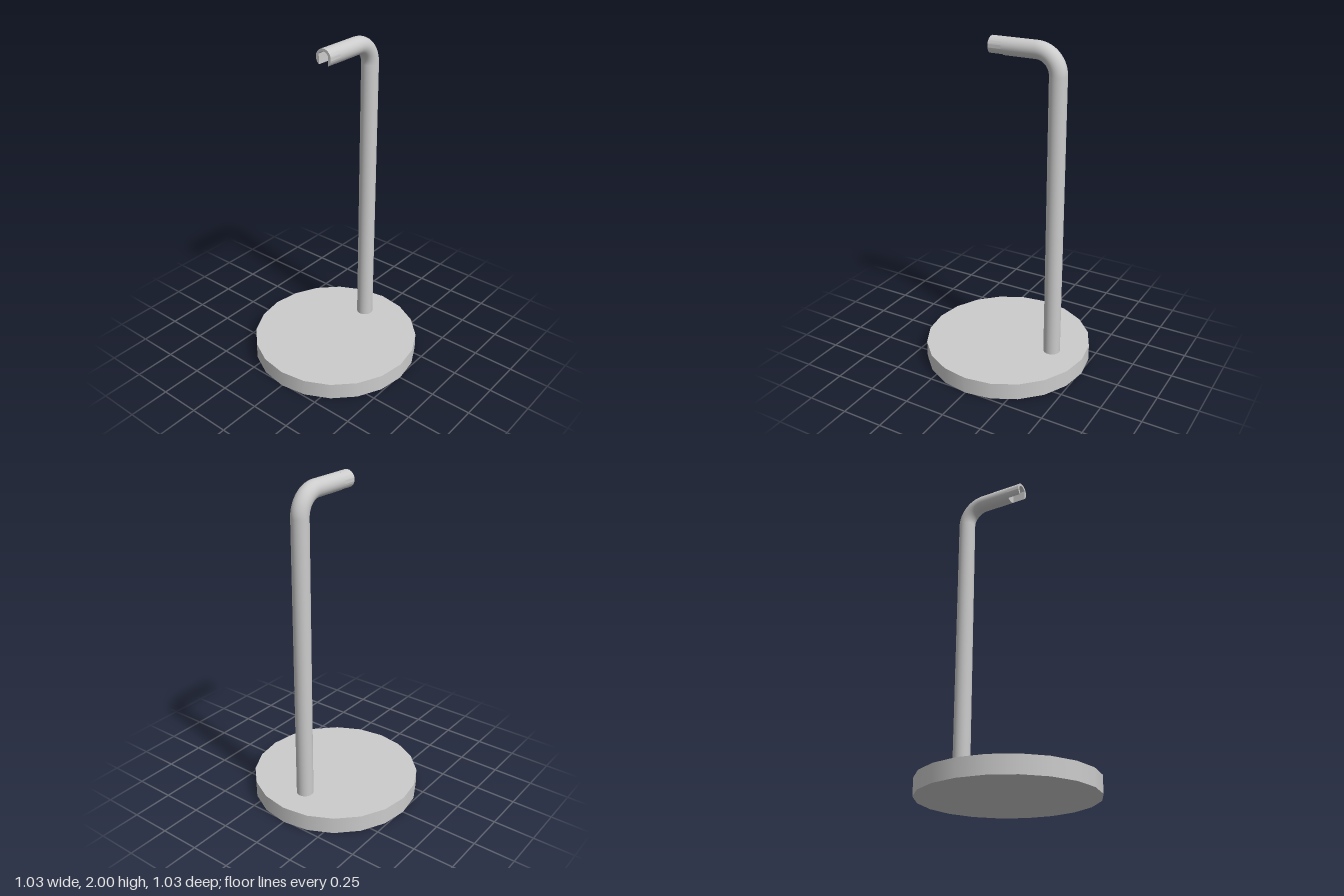
import * as THREE from 'three';
import { toCreasedNormals } from 'three/addons/utils/BufferGeometryUtils.js';

export function createModel() {
  const group = new THREE.Group();
  const material = new THREE.MeshStandardMaterial({ color: 0xcccccc });
  const add = (name, geometry, x, y, z) => {
    const mesh = new THREE.Mesh(geometry, material);
    mesh.name = name;
    mesh.position.set(x, y, z);
    group.add(mesh);
    return mesh;
  };

  const r = 0.051, bend = 0.13, sides = 40;
  const baseHeight = 0.103, postZ = -0.308, armY = 2 - r;
  const slotStart = 0.02, tipEnd = 0.102;
  const bendY = armY - bend, bendZ = postZ + bend;

  // Disc foot with twenty sides
  add('base', new THREE.CylinderGeometry(0.513, 0.513, baseHeight, 20), 0, baseHeight / 2, 0);

  // Upright rod
  const postLength = bendY - baseHeight;
  add('post', new THREE.CylinderGeometry(r, r, postLength, sides, 1, true), 0, baseHeight + postLength / 2, postZ);

  // Quarter-turn elbow from the post into the arm
  const elbow = new THREE.TorusGeometry(bend, r, sides, 20, Math.PI / 2).rotateY(Math.PI / 2);
  add('elbow', elbow, 0, bendY, bendZ);

  // Solid part of the arm; its front cap closes the slot
  const armLength = slotStart - bendZ;
  add('arm', new THREE.CylinderGeometry(r, r, armLength, sides).rotateX(Math.PI / 2), 0, armY, bendZ + armLength / 2);

  // Slotted tip: round section with an arched channel open at the bottom
  const half = 0.031, bore = 0.036;
  const low = -Math.acos(half / r), spring = Math.acos(half / bore);
  const section = new THREE.Shape();
  section.absarc(0, 0, r, low, Math.PI - low, false);
  section.lineTo(-half, bore * Math.sin(spring));
  section.absarc(0, 0, bore, Math.PI - spring, spring, true);
  section.closePath();
  const tip = new THREE.ExtrudeGeometry(section, { depth: tipEnd - slotStart, bevelEnabled: false, curveSegments: 32 });
  add('slottedTip', toCreasedNormals(tip, 0.5), 0, armY, slotStart);

  return group;
}
